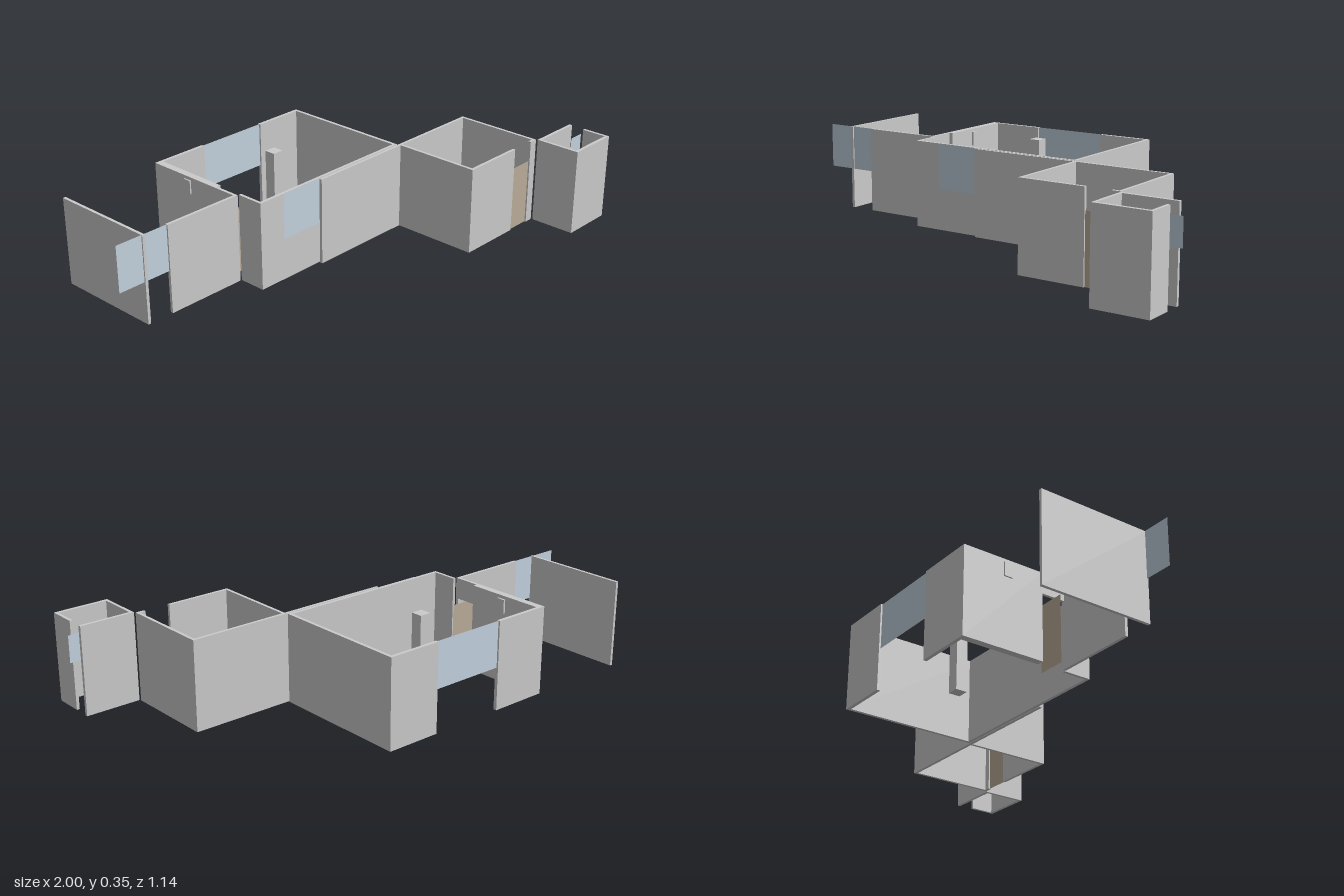
import * as THREE from 'three';

const H = 0.355; // wall height
const DOOR = 0.27; // door height

export function createModel() {
  const model = new THREE.Group();
  model.name = 'floorPlanWalls';
  const grey = new THREE.MeshStandardMaterial({ color: 0xcccccc });
  const glass = new THREE.MeshStandardMaterial({ color: 0xc4d3e0, side: THREE.DoubleSide });
  const wood = new THREE.MeshStandardMaterial({ color: 0xbcae9a, side: THREE.DoubleSide });

  // box given by its extents in x, z and y
  const block = (name, x0, x1, z0, z1, y0 = 0, y1 = H) => {
    const mesh = new THREE.Mesh(new THREE.BoxGeometry(x1 - x0, y1 - y0, z1 - z0), grey);
    mesh.position.set((x0 + x1) / 2, (y0 + y1) / 2, (z0 + z1) / 2);
    mesh.name = name;
    model.add(mesh);
  };

  // thin upright sheet parallel to the front
  const sheet = (name, material, x0, x1, z, y0, y1) => {
    const mesh = new THREE.Mesh(new THREE.PlaneGeometry(x1 - x0, y1 - y0), material);
    mesh.position.set((x0 + x1) / 2, (y0 + y1) / 2, z);
    mesh.name = name;
    model.add(mesh);
  };

  // outer side yard
  block('yardWall', -0.888, -0.876, -0.57, -0.12);
  block('yardFrontWall', -0.775, -0.44, -0.131, -0.119);

  // main room
  block('mainOuterSideWall', -0.451, -0.438, -0.57, -0.23);
  block('mainInnerSideWall', -0.438, -0.422, -0.57, -0.23);
  block('sideDoorLintel', -0.451, -0.439, -0.23, -0.119, DOOR, H);
  block('mainSideWallEnd', -0.434, -0.422, -0.119, -0.005);
  block('mainBackWallRight', -0.451, -0.21, -0.571, -0.557);
  block('mainBackWallLeft', 0.1, 0.324, -0.571, -0.557);
  block('mainLeftWall', 0.311, 0.324, -0.57, -0.005);
  block('mainFrontWall', -0.434, 0.324, -0.018, -0.005);
  block('pillar', -0.079, -0.031, -0.343, -0.296);
  block('wallFitting', -0.457, -0.414, -0.4, -0.365, 0.285, 0.342);

  // middle room
  block('middleBackWall', -0.13, 0.741, 0, 0.012);
  block('middleRightWall', 0.326, 0.338, 0, 0.374);
  block('middleLeftWall', 0.729, 0.741, 0, 0.374);
  block('middleFrontWall', 0.326, 0.6, 0.362, 0.374);
  block('middleFrontWallEnd', 0.705, 0.741, 0.362, 0.374);

  // small room
  block('smallBackWall', 0.744, 0.97, 0.38, 0.393);
  block('smallRightWall', 0.744, 0.756, 0.38, 0.571);
  block('smallFrontWall', 0.744, 0.97, 0.557, 0.571);
  block('smallLeftWall', 0.958, 0.97, 0.455, 0.571);

  // windows
  sheet('yardWindow', glass, -1, -0.775, -0.125, 0.17, H);
  sheet('frontWindow', glass, -0.318, -0.13, -0.002, 0.17, H);
  sheet('backWindow', glass, -0.21, 0.1, -0.564, 0.17, H);
  sheet('smallWindow', glass, 0.93, 1, 0.42, 0.207, 0.315);

  // doors
  sheet('frontDoor', wood, 0.6, 0.705, 0.368, 0, DOOR);
  sheet('sideDoor', wood, -0.485, -0.37, -0.175, 0, DOOR);

  return model;
}
